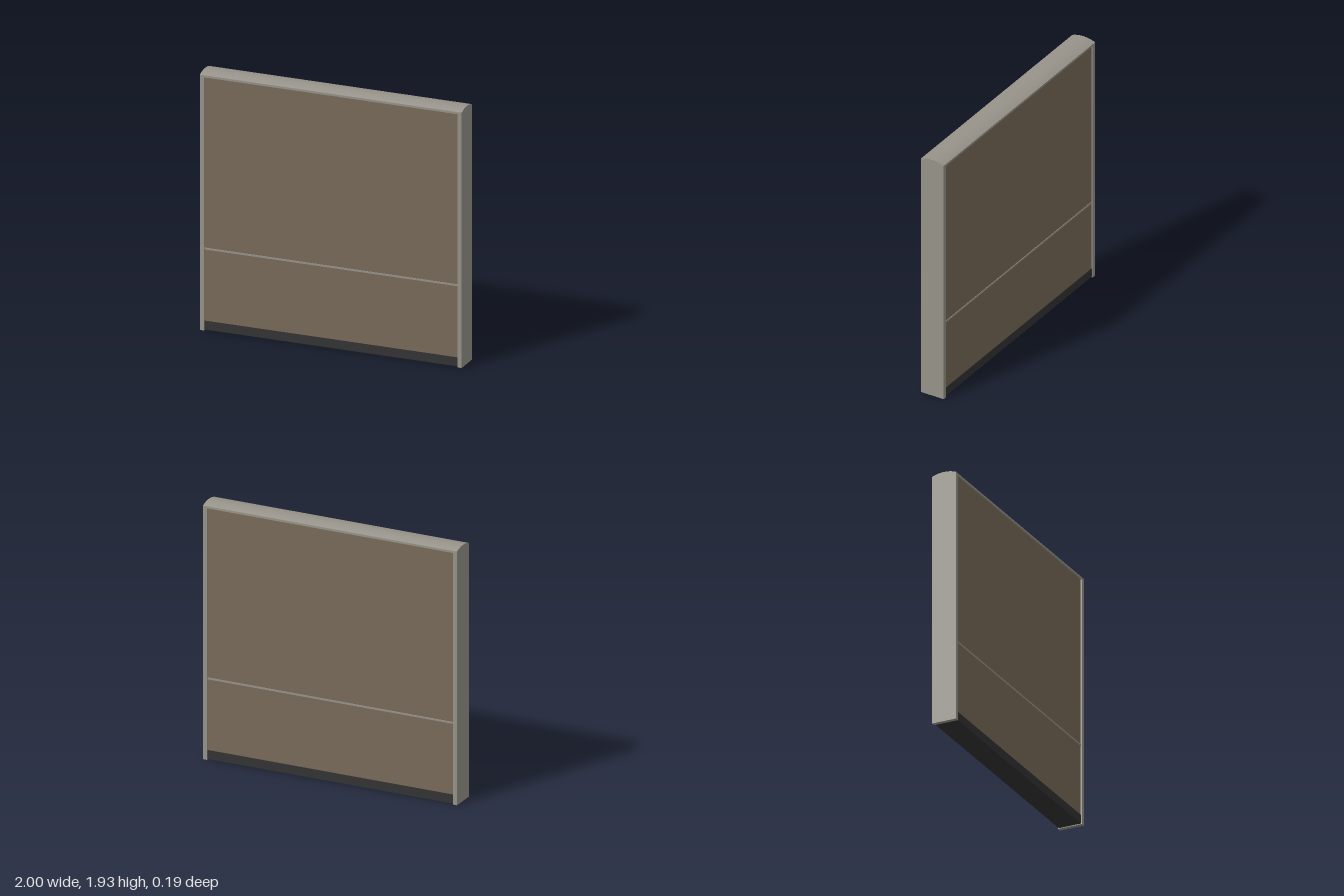
import * as THREE from 'three';
import { toCreasedNormals } from 'three/addons/utils/BufferGeometryUtils.js';

const material = (color) => new THREE.MeshStandardMaterial({ color });

export function createModel() {
  const model = new THREE.Group();
  const frame = material(0x97938a);
  const fabric = material(0x796a59);
  const dark = material(0x333333);

  const half = 0.095; // half depth of the frame
  const inner = 1.936; // clear width between the posts

  const add = (name, geometry, mat, x = 0, y = 0) => {
    const mesh = new THREE.Mesh(geometry, mat);
    mesh.name = name;
    mesh.position.set(x, y, 0);
    model.add(mesh);
  };
  // Box between two heights
  const slab = (name, width, y0, y1, depth, mat, x = 0) =>
    add(name, new THREE.BoxGeometry(width, y1 - y0, depth), mat, x, (y0 + y1) / 2);

  // Side posts
  for (const [name, side] of [['leftPost', 1], ['rightPost', -1]]) {
    slab(name, 0.032, 0, 1.9, half * 2, frame, side * 0.984);
  }

  // Top cap with a gently domed upper face, extruded across the width
  const profile = new THREE.Shape();
  const rise = 0.019;
  const radius = (half * half + rise * rise) / (2 * rise);
  const spread = Math.asin(half / radius);
  profile.moveTo(-half, 1.9);
  profile.lineTo(half, 1.9);
  profile.lineTo(half, 1.916);
  profile.absarc(0, 1.935 - radius, radius, Math.PI / 2 - spread, Math.PI / 2 + spread, false);
  profile.closePath();
  const cap = new THREE.ExtrudeGeometry(profile, { depth: 2, bevelEnabled: false, curveSegments: 20 });
  cap.translate(0, 0, -1).rotateY(Math.PI / 2);
  add('topCap', toCreasedNormals(cap, 0.3), frame);

  // Upper and lower infill panels, slightly recessed on both faces
  slab('upperPanel', inner, 0.62, 1.9, 0.17, fabric);
  slab('lowerPanel', inner, 0.072, 0.607, 0.17, fabric);

  // Divider rail between the panels
  slab('dividerRail', inner, 0.607, 0.62, 0.178, frame);

  // Dark base plinth
  slab('basePlinth', inner, 0.005, 0.072, 0.174, dark);

  return model;
}
